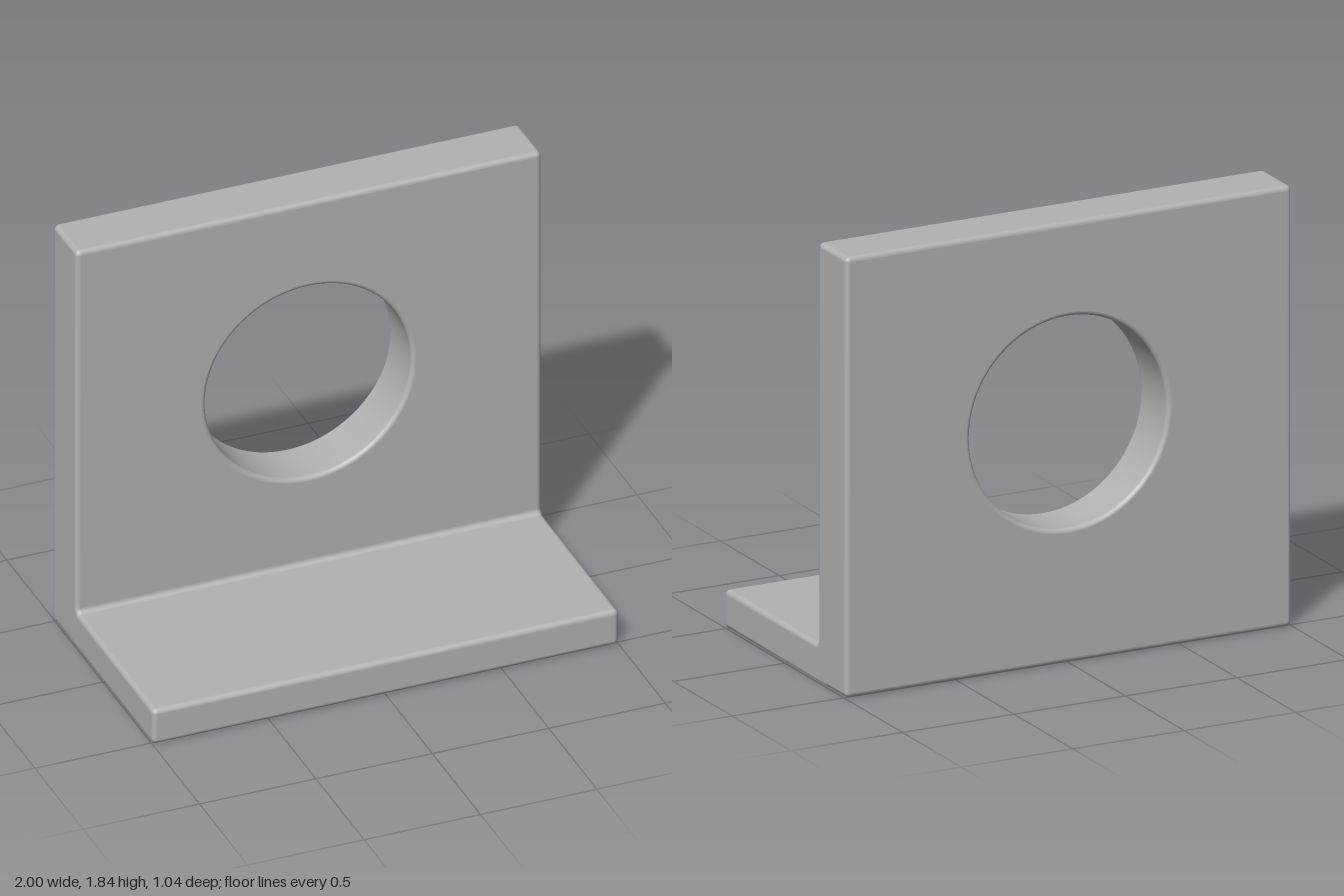
import * as THREE from 'three';
import { mergeVertices } from 'three/addons/utils/BufferGeometryUtils.js';

const BEVEL = 0.02;
const CORNER = 0.022;

// Outline from [x, y, radius] corners; rounded corners are right-angled arcs
function roundedOutline(corners, steps = 5) {
  const points = [];
  corners.forEach(([x, y, r], i) => {
    const p = new THREE.Vector2(x, y);
    if (!r) return points.push(p);
    const prev = corners[(i + corners.length - 1) % corners.length];
    const next = corners[(i + 1) % corners.length];
    const u = new THREE.Vector2(prev[0], prev[1]).sub(p).normalize();
    const v = new THREE.Vector2(next[0], next[1]).sub(p).normalize();
    const centre = p.clone().addScaledVector(u, r).addScaledVector(v, r);
    for (let k = 0; k <= steps; k++) {
      const t = (k / steps) * Math.PI / 2;
      points.push(centre.clone()
        .addScaledVector(v, -r * Math.cos(t))
        .addScaledVector(u, -r * Math.sin(t)));
    }
  });
  return points;
}

// Smooth normals on the rounded edges, exact normals on the flat faces
function smoothRoundedEdges(source) {
  source.deleteAttribute('uv');
  source.deleteAttribute('normal');
  const merged = mergeVertices(source, 1e-5);
  merged.computeVertexNormals();
  const geometry = merged.toNonIndexed();
  geometry.clearGroups();
  const pos = geometry.attributes.position;
  const normal = geometry.attributes.normal;
  const tri = new THREE.Triangle();
  const n = new THREE.Vector3();
  for (let i = 0; i < pos.count; i += 3) {
    tri.setFromAttributeAndIndices(pos, i, i + 1, i + 2);
    tri.getNormal(n);
    if (Math.max(Math.abs(n.x), Math.abs(n.y), Math.abs(n.z)) > 0.9999) {
      for (let k = 0; k < 3; k++) normal.setXYZ(i + k, n.x, n.y, n.z);
    }
  }
  return geometry;
}

// Rounded slab of the given total thickness, centred on z = 0
function slab(shape, thickness) {
  const depth = thickness - 2 * BEVEL;
  const geometry = new THREE.ExtrudeGeometry(shape, {
    depth,
    bevelEnabled: true,
    bevelThickness: BEVEL,
    bevelSize: BEVEL,
    bevelOffset: -BEVEL,
    bevelSegments: 5,
  });
  geometry.translate(0, 0, -depth / 2);
  return smoothRoundedEdges(geometry);
}

export function createModel() {
  const group = new THREE.Group();
  group.name = 'angleBracket';
  const grey = new THREE.MeshStandardMaterial({ color: 0xb2b2b2 });
  grey.name = 'grey';

  // Upright plate with a round hole
  const plateShape = new THREE.Shape(roundedOutline([
    [-1, 0, CORNER], [1, 0, CORNER], [1, 1.84, CORNER], [-1, 1.84, CORNER],
  ]));
  const hole = [];
  for (let i = 0; i < 96; i++) {
    const a = (i / 96) * Math.PI * 2;
    hole.push(new THREE.Vector2(0.442 * Math.cos(a), 1.002 + 0.442 * Math.sin(a)));
  }
  plateShape.holes.push(new THREE.Path(hole));
  const plate = new THREE.Mesh(slab(plateShape, 0.24), grey);
  plate.name = 'uprightPlate';
  plate.position.z = -0.4;
  group.add(plate);

  // Foot profile (z, y) with a small inner fillet, its back end set into the plate
  const footShape = new THREE.Shape(roundedOutline([
    [-0.36, 0, 0], [0.52, 0, CORNER], [0.52, 0.16, CORNER],
    [-0.28, 0.16, CORNER], [-0.28, 0.19, 0], [-0.3, 0.4, 0], [-0.36, 0.4, 0],
  ]));
  const footGeometry = slab(footShape, 2);
  footGeometry.rotateY(-Math.PI / 2);
  const foot = new THREE.Mesh(footGeometry, grey);
  foot.name = 'foot';
  group.add(foot);

  return group;
}
